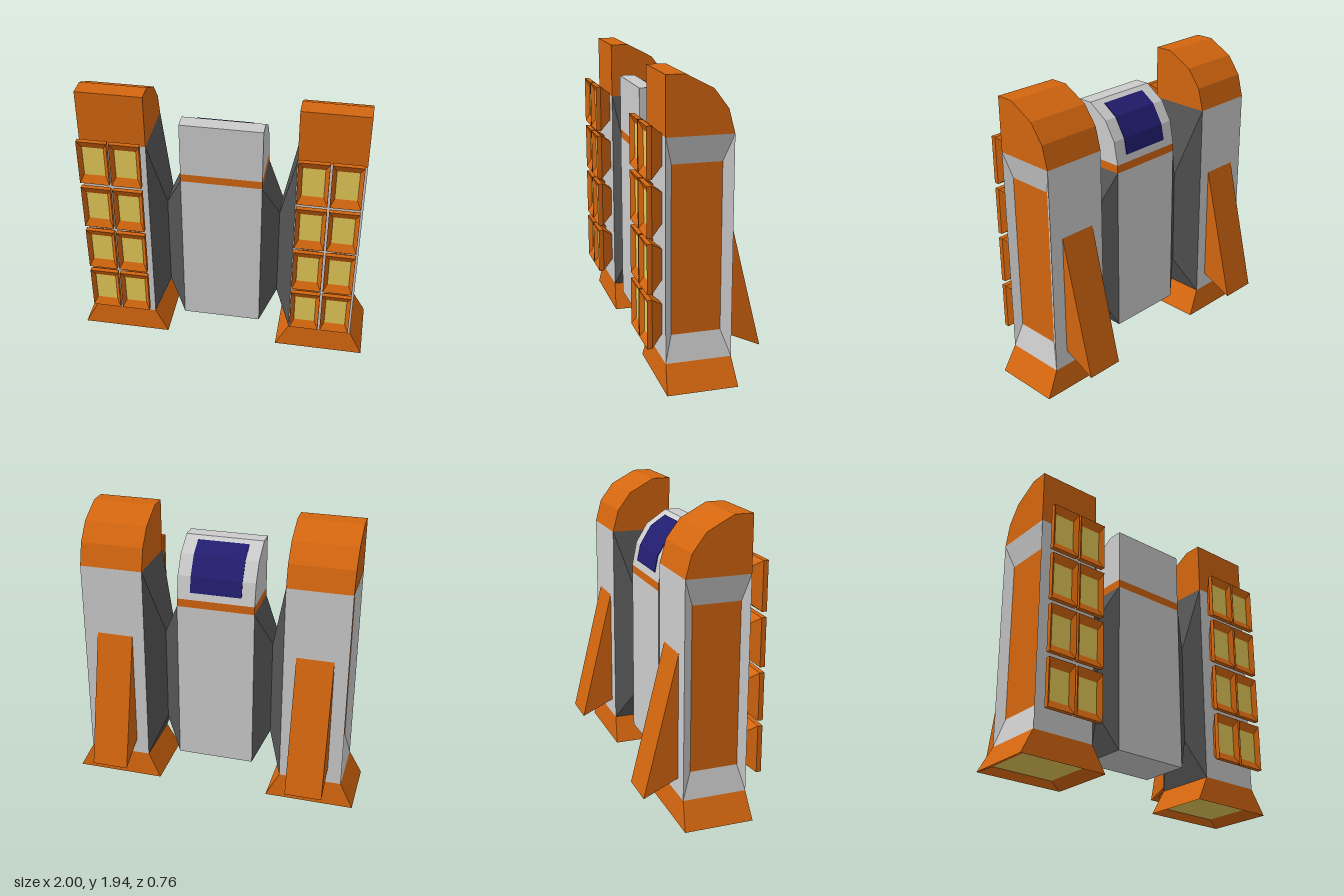
import * as THREE from 'three';

const material = (color) =>
  new THREE.MeshStandardMaterial({ color, flatShading: true, side: THREE.DoubleSide });

// Rectangular rings of four corners, each counter-clockwise seen from the end of its travel
const ringX = (x, y0, y1, z0, z1) => [[x, y0, z0], [x, y1, z0], [x, y1, z1], [x, y0, z1]];
const ringZ = (z, x0, x1, y0, y1) => [[x0, y0, z], [x1, y0, z], [x1, y1, z], [x0, y1, z]];
// Downward ring; back and front edges may differ in height
const ringDown = (x0, x1, [zb, yb], [zf, yf]) =>
  [[x0, yb, zb], [x1, yb, zb], [x1, yf, zf], [x0, yf, zf]];

// Skin a run of rings with flat quads; side = -1 mirrors in x
function loft(rings, side = 1, capStart = true, capEnd = true) {
  const pos = [];
  const quad = (a, b, c, d) => {
    const order = side > 0 ? [a, b, c, a, c, d] : [a, c, b, a, d, c];
    for (const p of order) pos.push(p[0] * side, p[1], p[2]);
  };
  for (let r = 0; r < rings.length - 1; r++) {
    const a = rings[r], b = rings[r + 1];
    for (let i = 0; i < 4; i++) quad(a[i], a[(i + 1) % 4], b[(i + 1) % 4], b[i]);
  }
  if (capStart) quad(...[...rings[0]].reverse());
  if (capEnd) quad(...rings[rings.length - 1]);
  const g = new THREE.BufferGeometry();
  g.setAttribute('position', new THREE.Float32BufferAttribute(pos, 3));
  g.computeVertexNormals();
  return g;
}

// Extrude a (z, y) profile across x, centred
function sideProfile(points, width) {
  const shape = new THREE.Shape(points.map(([z, y]) => new THREE.Vector2(-z, y)));
  const g = new THREE.ExtrudeGeometry(shape, { depth: width, bevelEnabled: false });
  return g.translate(0, 0, -width / 2).rotateY(Math.PI / 2);
}

export function createModel() {
  const model = new THREE.Group();
  const grey = material(0xcccccc), dark = material(0x555555);
  const orange = material(0xd4660f), yellow = material(0xe6ca57), blue = material(0x221d70);

  const add = (parent, name, geometry, mat) => {
    const mesh = new THREE.Mesh(geometry, mat);
    mesh.name = name;
    parent.add(mesh);
    return mesh;
  };
  const group = (parent, name) => {
    const g = new THREE.Group();
    g.name = name;
    parent.add(g);
    return g;
  };

  // Centre cabin: body, stripe, rounded-back roof
  const cabin = group(model, 'cabin');
  const box = (y0, y1) => new THREE.BoxGeometry(0.53, y1 - y0, 0.34).translate(0, (y0 + y1) / 2, 0.09);
  add(cabin, 'cabinBody', box(0.19, 1.335), grey);
  add(cabin, 'cabinStripe', box(1.335, 1.39), orange);
  add(cabin, 'cabinRoof', sideProfile(
    [[0.26, 1.39], [0.26, 1.76], [0.16, 1.76], [0.025, 1.67], [-0.05, 1.545], [-0.08, 1.39]], 0.53), grey);

  // Window following the roof curve
  add(cabin, 'window', sideProfile(
    [[0.125, 1.741], [0.023, 1.674], [-0.054, 1.547], [-0.076, 1.44],
      [-0.06, 1.44], [-0.03, 1.54], [0.04, 1.65], [0.125, 1.7]], 0.35), blue);

  for (const side of [1, -1]) {
    const pod = group(model, side > 0 ? 'leftPod' : 'rightPod');

    // Waisted connector between cabin and pod
    add(pod, 'connector', loft([
      ringX(0.265, 0.19, 1.335, -0.08, 0.26),
      ringX(0.375, 0.42, 1.1, 0, 0.18),
      ringX(0.48, 0.17, 1.58, -0.15, 0.27)], side, false, false), dark);

    // Body with a bevelled recess in the outer face
    const recess = ringX(0.87, 0.34, 1.41, -0.09, 0.225);
    add(pod, 'podBody', loft([
      ringX(0.48, 0.17, 1.58, -0.15, 0.27),
      ringX(0.91, 0.17, 1.58, -0.15, 0.27),
      recess], side, true, false), grey);
    add(pod, 'sidePanel', loft([recess], side, false), orange);

    // Cap, curved toward the back
    add(pod, 'podCap', sideProfile(
      [[0.27, 1.58], [0.27, 1.94], [0.15, 1.94], [-0.02, 1.85], [-0.11, 1.73], [-0.15, 1.58]], 0.43),
    orange).position.x = side * 0.695;

    // Flared foot with a sunken underside
    const sole = ringDown(0.48, 0.91, [-0.14, 0.045], [0.255, 0.045]);
    add(pod, 'foot', loft([
      ringDown(0.48, 0.91, [-0.15, 0.17], [0.27, 0.17]),
      ringDown(0.39, 1.0, [-0.17, 0], [0.285, 0]),
      sole], side, true, false), orange);
    add(pod, 'footSole', loft([sole], side, false), yellow);

    // Back fin, hollow underneath
    add(pod, 'fin', loft([
      ringDown(0.565, 0.815, [-0.15, 1.1], [-0.149, 1.1]),
      ringDown(0.565, 0.815, [-0.375, 0.175], [-0.149, 0.28]),
      ringDown(0.595, 0.785, [-0.335, 0.194], [-0.18, 0.266]),
      ringDown(0.61, 0.77, [-0.31, 0.26], [-0.19, 0.32])], side), orange);

    // Two columns of four flared lamps on the front
    const lamps = group(pod, 'lamps');
    for (const x of [0.59, 0.798]) {
      for (let row = 0; row < 4; row++) {
        const y = 0.433 + row * 0.353;
        const ring = (z, w, h) => ringZ(z, x - w, x + w, y - h, y + h);
        const glass = ring(0.355, 0.07, 0.104);
        add(lamps, 'lampHousing', loft([
          ring(0.268, 0.03, 0.095),
          ring(0.35, 0.097, 0.158),
          ring(0.382, 0.097, 0.158),
          glass], side, true, false), orange);
        add(lamps, 'lampGlass', loft([glass], side, false), yellow);
      }
    }
  }
  return model;
}
